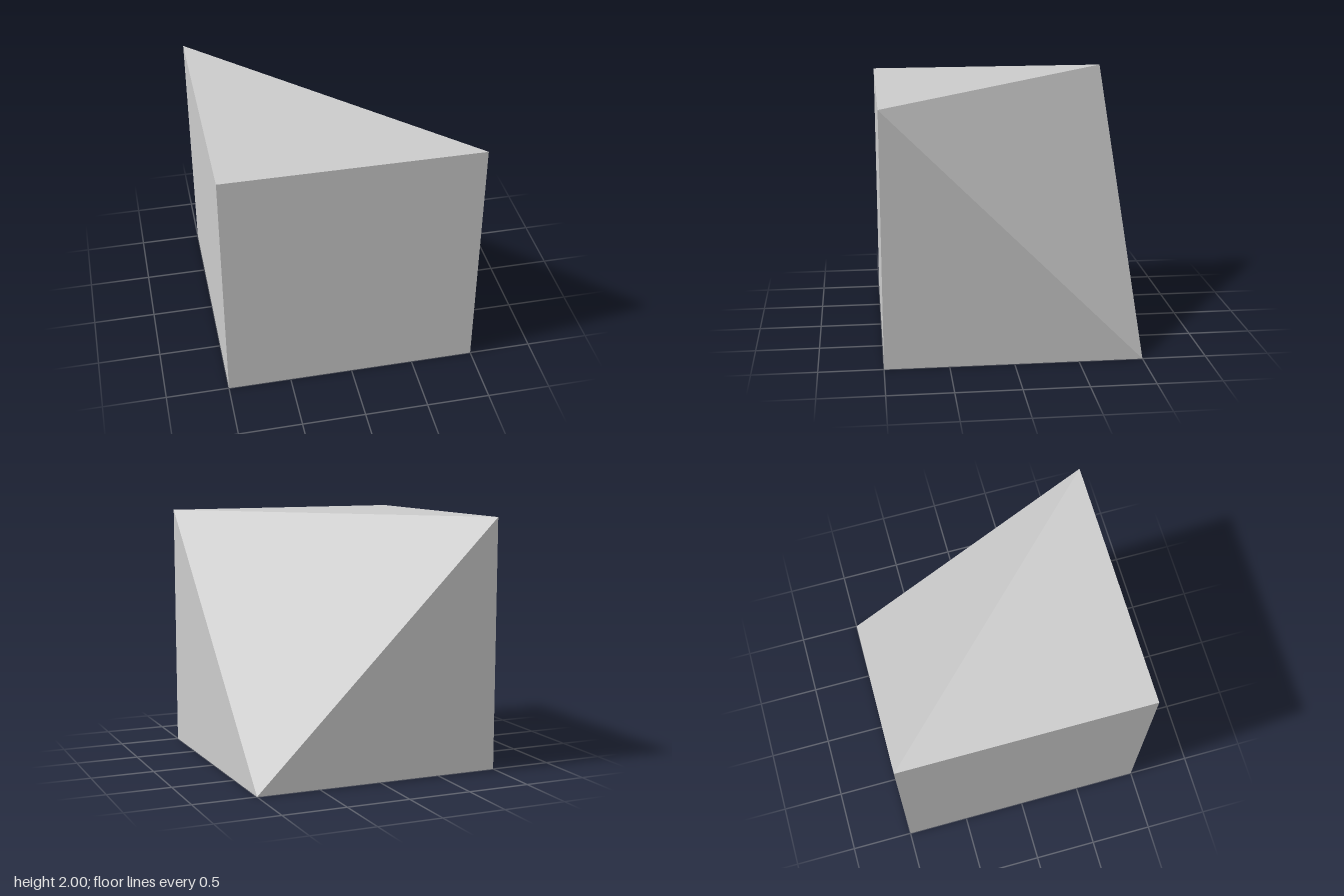
import * as THREE from 'three';
import { ConvexGeometry } from 'three/addons/geometries/ConvexGeometry.js';

export function createModel() {
  const group = new THREE.Group();
  group.name = 'cutCube';

  // Cube corners, leaving out the top back corner at +x: the hull closes
  // over the gap with one slanted triangle.
  const corners = [];
  for (const x of [-1, 1])
    for (const y of [0, 2])
      for (const z of [-1, 1])
        if (!(x === 1 && y === 2 && z === -1)) corners.push(new THREE.Vector3(x, y, z));

  const material = new THREE.MeshStandardMaterial({ color: 0xcccccc, flatShading: true });
  const body = new THREE.Mesh(new ConvexGeometry(corners), material);
  body.name = 'cubeWithCutCorner';
  group.add(body);
  return group;
}
